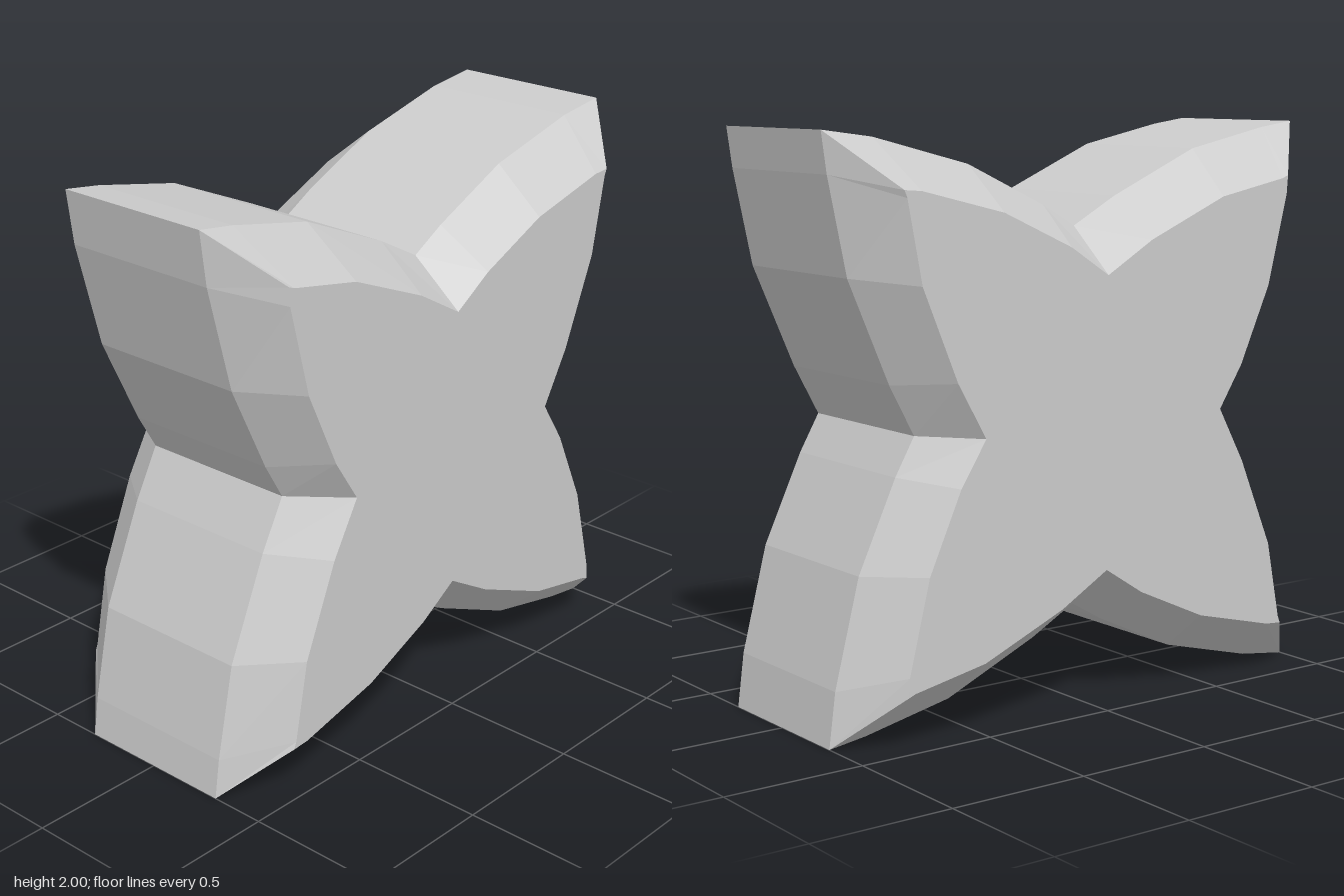
import * as THREE from 'three';

// One quarter of the star outline, counter-clockwise from the right-hand notch
const OUTER = [[0.66, 0], [0.755, 0.175], [0.91, 0.53], [0.98, 0.86], [1, 1], [0.81, 0.975], [0.44, 0.88], [0.13, 0.735]];
const INNER = [[0.505, 0], [0.615, 0.19], [0.75, 0.51], [0.805, 0.79], [0.815, 0.815], [0.75, 0.81], [0.43, 0.73], [0.155, 0.605]];

// Turn the quarter outline about the centre four times to make a closed ring
function ring(quarter, z) {
  const points = [];
  for (let turn = 0; turn < 4; turn++) {
    for (let [x, y] of quarter) {
      for (let i = 0; i < turn; i++) [x, y] = [-y, x];
      points.push([x, y + 1, z]);
    }
  }
  return points;
}

// Join neighbouring rings, from the front face to the back face
function loft(rings) {
  const positions = [];
  const count = rings[0].length;
  for (let r = 0; r < rings.length - 1; r++) {
    for (let i = 0; i < count; i++) {
      const j = (i + 1) % count;
      const a = rings[r][i], b = rings[r][j];
      const c = rings[r + 1][i], d = rings[r + 1][j];
      positions.push(...a, ...c, ...d, ...a, ...d, ...b);
    }
  }
  // Flat faces, fanned out from the centre
  const front = rings[0], back = rings[rings.length - 1];
  for (let i = 0; i < count; i++) {
    const j = (i + 1) % count;
    positions.push(0, 1, front[0][2], ...front[i], ...front[j]);
    positions.push(0, 1, back[0][2], ...back[j], ...back[i]);
  }
  const geometry = new THREE.BufferGeometry();
  geometry.setAttribute('position', new THREE.Float32BufferAttribute(positions, 3));
  geometry.computeVertexNormals();
  return geometry;
}

export function createModel() {
  const group = new THREE.Group();
  group.name = 'fourPointedStar';

  // Thick star with bevelled front and back rims
  const geometry = loft([ring(INNER, 0.49), ring(OUTER, 0.3), ring(OUTER, -0.3), ring(INNER, -0.49)]);
  const material = new THREE.MeshStandardMaterial({ color: 0xcccccc, flatShading: true });
  const star = new THREE.Mesh(geometry, material);
  star.name = 'starBody';
  group.add(star);
  return group;
}
